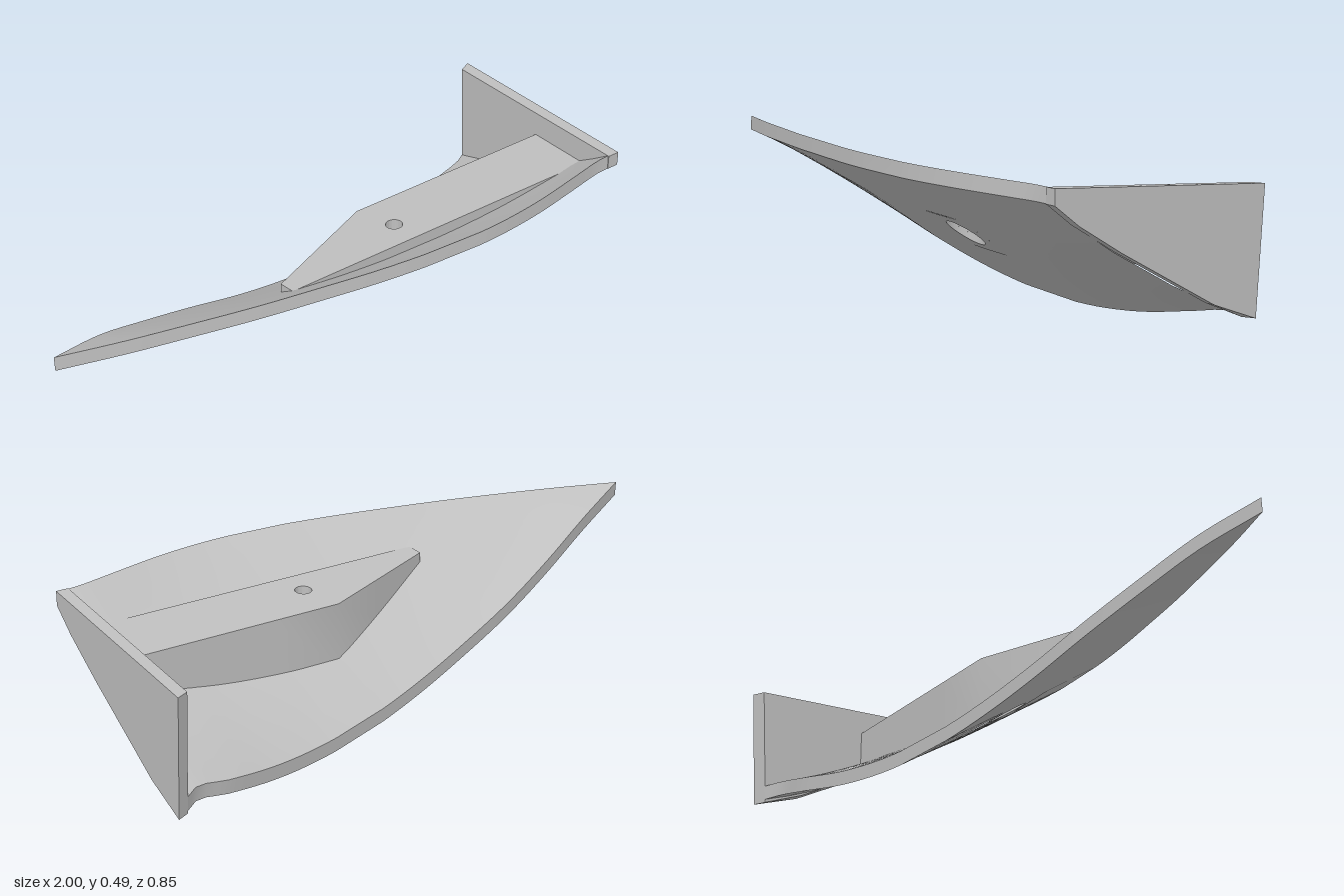
import * as THREE from 'three';
import { toCreasedNormals } from 'three/addons/utils/BufferGeometryUtils.js';

const SHELL = 0.047; // shell thickness
const HOLE = { x: 0.26, z: 0.12, r: 0.06, bore: 0.027 };

// Stations along the shell: x, keel z, keel y, rim z, rim y
const STATIONS = [
  [-1, 0.155, 0.43, 0.155, 0.43],
  [-0.8, 0.075, 0.368, 0.215, 0.434],
  [-0.6, 0.005, 0.285, 0.267, 0.438],
  [-0.4, -0.055, 0.205, 0.315, 0.441],
  [-0.2, -0.1, 0.132, 0.355, 0.444],
  [0, -0.145, 0.07, 0.391, 0.446],
  [0.2, -0.19, 0.025, 0.415, 0.448],
  [0.4, -0.235, 0.003, 0.421, 0.448],
  [0.6, -0.285, 0.008, 0.402, 0.447],
  [0.8, -0.335, 0.038, 0.362, 0.444],
  [0.92, -0.355, 0.058, 0.337, 0.442],
  [0.96, -0.382, 0.052, 0.334, 0.441],
];
const curve = new THREE.CubicInterpolant(
  STATIONS.map(s => s[0]), STATIONS.flatMap(s => s.slice(1)), 4);

const station = x => {
  const [kz, ky, rz, ry] = curve.evaluate(x);
  return { kz, ky, rz, ry, sag: 0.035 * THREE.MathUtils.smoothstep(x, 0.3, 0.96) };
};

// Point on the shell; t runs from keel to rim, up is 0 outside and 1 inside
function shellPoint(x, t, up = 0) {
  const s = station(x);
  return new THREE.Vector3(
    x,
    THREE.MathUtils.lerp(s.ky, s.ry, t) - s.sag * 4 * t * (1 - t) + up * SHELL,
    THREE.MathUtils.lerp(s.kz, s.rz, t) - up * 0.003);
}

function shellAt(x, z, up = 0) {
  const s = station(x);
  return shellPoint(x, (z - s.kz) / (s.rz - s.kz), up);
}

function shellGeometry() {
  const pos = [];
  const tri = (a, b, c) => {
    const area = b.clone().sub(a).cross(c.clone().sub(a)).length();
    if (area > 1e-8) pos.push(...a, ...b, ...c);
  };
  const quad = (a, b, c, d) => { tri(a, b, c); tri(a, c, d); };
  // the same patch on the inside and, reversed, on the outside
  const both = (f) => { quad(...f(1)); quad(...f(0).reverse()); };

  const xs = [];
  for (let k = 0; k <= 49; k++) if (k < 30 || k > 33) xs.push(-1 + k * 0.04);
  const ts = [0, 0.12, 0.25, 0.375, 0.665, 0.78, 0.9, 1];

  for (let i = 0; i < xs.length - 1; i++) {
    const x0 = xs[i], x1 = xs[i + 1];
    const holeColumn = x0 < HOLE.x && x1 > HOLE.x;
    for (let j = 0; j < ts.length - 1; j++) {
      const t0 = ts[j], t1 = ts[j + 1];
      if (holeColumn && j === 3) {
        // patch with a round hole
        const n = 32;
        const angle = k => (k % n) / n * Math.PI * 2;
        const outer = (k, up) => {
          const c = Math.cos(angle(k)), s = Math.sin(angle(k));
          const m = 2 * Math.max(Math.abs(c), Math.abs(s));
          return shellPoint((x0 + x1) / 2 + (x1 - x0) * c / m, (t0 + t1) / 2 + (t1 - t0) * s / m, up);
        };
        const inner = (k, up) => shellAt(
          HOLE.x + HOLE.r * Math.cos(angle(k)), HOLE.z + HOLE.r * Math.sin(angle(k)), up);
        for (let k = 0; k < n; k++) {
          both(up => [outer(k, up), inner(k, up), inner(k + 1, up), outer(k + 1, up)]);
          quad(inner(k, 0), inner(k + 1, 0), inner(k + 1, 1), inner(k, 1));
        }
      } else {
        both(up => [shellPoint(x0, t0, up), shellPoint(x0, t1, up), shellPoint(x1, t1, up), shellPoint(x1, t0, up)]);
      }
    }
    // rim face and keel face
    const edge = t => [shellPoint(x0, t, 0), shellPoint(x1, t, 0), shellPoint(x1, t, 1), shellPoint(x0, t, 1)];
    quad(...edge(1));
    quad(...edge(0).reverse());
  }
  const geo = new THREE.BufferGeometry();
  geo.setAttribute('position', new THREE.Float32BufferAttribute(pos, 3));
  return geo;
}

// Upright block drawn in plan; bottom and top heights follow rules of (x, z)
function blockGeometry(shape, bottomY, topY) {
  const geo = new THREE.ExtrudeGeometry(shape, { depth: 1, bevelEnabled: false, curveSegments: 28 });
  geo.rotateX(-Math.PI / 2);
  const p = geo.attributes.position;
  for (let i = 0; i < p.count; i++) {
    const x = p.getX(i), z = p.getZ(i);
    p.setY(i, p.getY(i) > 0.5 ? topY(x, z) : bottomY(x, z));
  }
  return geo;
}

const circle = r => new THREE.Path().absarc(HOLE.x, -HOLE.z, r, 0, Math.PI * 2, true);

export function createModel() {
  const group = new THREE.Group();
  const grey = new THREE.MeshStandardMaterial({ color: 0xc0c0c0 });
  grey.name = 'light grey';

  const add = (name, geo) => {
    geo.deleteAttribute('uv');
    const mesh = new THREE.Mesh(toCreasedNormals(geo, 0.5), grey);
    mesh.name = name;
    group.add(mesh);
  };

  add('curvedShell', shellGeometry());

  // End plate, drawn as z and y and extruded along x
  const plate = new THREE.Shape([
    [0.335, 0.488], [-0.425, 0.44], [-0.4, 0.042], [-0.24, 0.1],
    [0.1, 0.285], [0.25, 0.375], [0.335, 0.44],
  ].map(([z, y]) => new THREE.Vector2(-z, y)));
  const plateGeo = new THREE.ExtrudeGeometry(plate, { depth: 0.04, bevelEnabled: false });
  plateGeo.rotateY(Math.PI / 2).translate(0.96, 0, 0);
  const p = plateGeo.attributes.position;
  for (let i = 0; i < p.count; i++) { // slanted rear edge
    if (p.getX(i) < 0.97 && p.getZ(i) < -0.3) p.setZ(i, p.getZ(i) + 0.02);
  }
  add('endPlate', plateGeo);

  // Mounting block on the inside, with a wide recess open to below
  const topY = (x, z) => 0.385 + 0.063 * z;
  const outline = new THREE.Shape([
    [-0.21, 0.165], [-0.205, 0.22], [0.1, 0.22], [0.4, 0.22], [0.7, 0.22], [0.96, 0.22],
    [0.96, -0.015], [0.7, -0.015], [0.45, -0.015], [0.215, -0.015], [0, 0.076],
  ].map(([x, z]) => new THREE.Vector2(x, -z)));
  outline.holes.push(circle(HOLE.r));
  add('mountingBlock', blockGeometry(outline, (x, z) => shellAt(x, z).y + 0.02, topY));

  // Collar that narrows the recess to a small bore
  const collar = new THREE.Shape().absarc(HOLE.x, -HOLE.z, HOLE.r, 0, Math.PI * 2, false);
  collar.holes.push(circle(HOLE.bore));
  add('boreCollar', blockGeometry(collar, () => 0.33, topY));

  return group;
}
